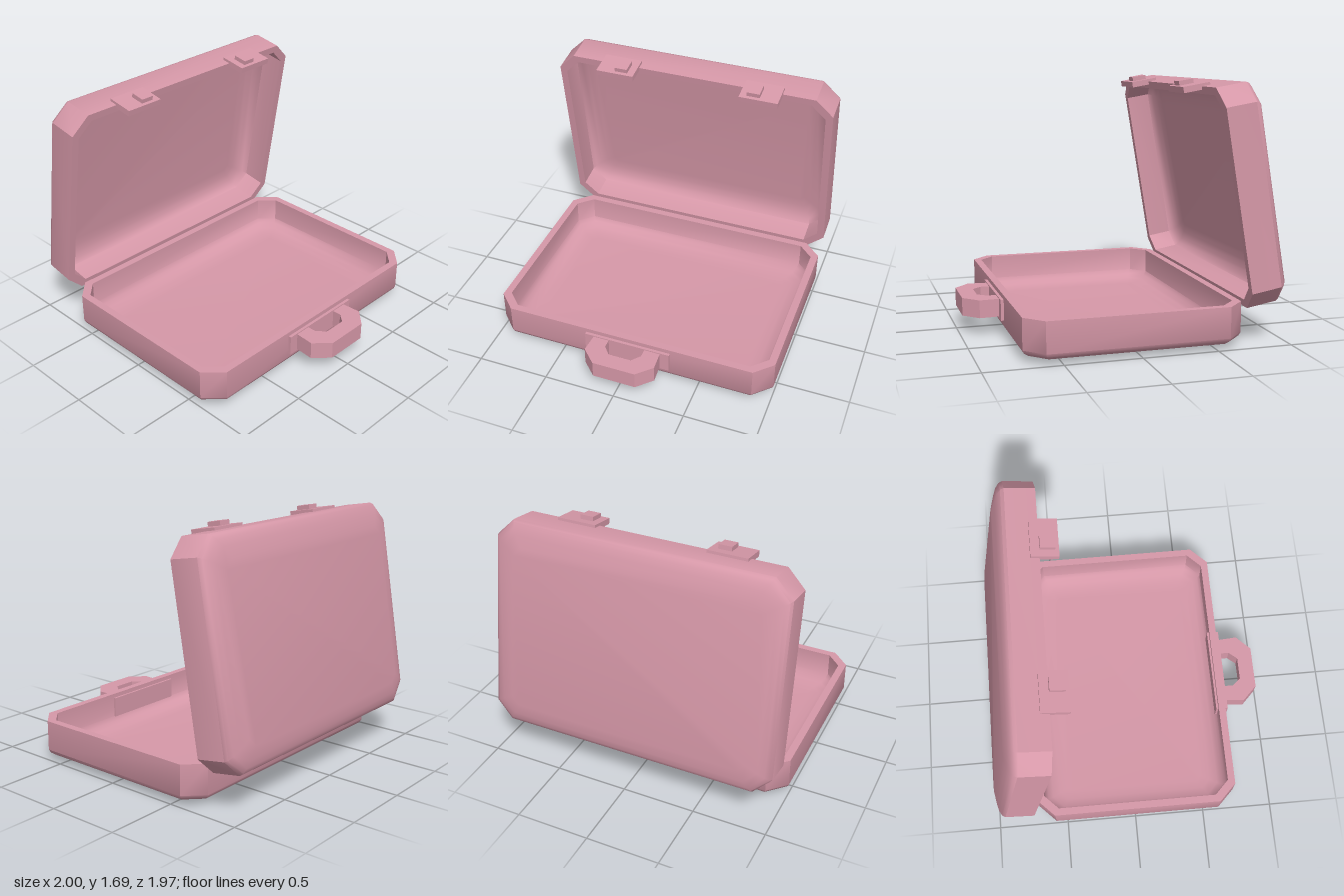
import * as THREE from 'three';
import { toCreasedNormals } from 'three/addons/utils/BufferGeometryUtils.js';

const HX = 1, HZ = 0.715, RIM = 0.28;
const material = new THREE.MeshStandardMaterial({ color: 0xd698a8, side: THREE.DoubleSide });

function add(parent, name, geometry, x = 0, y = 0, z = 0) {
  const mesh = new THREE.Mesh(geometry, material);
  mesh.name = name;
  mesh.position.set(x, y, z);
  parent.add(mesh);
  return mesh;
}

// Rectangle with chamfered corners, counted from +x towards +z
function ring(inset, y) {
  const x = HX - inset, z = HZ - inset, c = 0.12 - 0.4 * inset;
  return [
    [x, y, -z + c], [x, y, z - c], [x - c, y, z], [-x + c, y, z],
    [-x, y, z - c], [-x, y, -z + c], [-x + c, y, -z], [x - c, y, -z],
  ];
}

// Hollow tray: [inset, height] from the outer floor over the rim to the inner floor
function shellGeometry() {
  const profile = [
    [0.16, 0], [0.085, 0.018], [0.04, 0.033], [0.012, 0.053], [0, 0.076], [0, RIM],
    [0.05, RIM], [0.05, 0.11], [0.07, 0.08], [0.105, 0.055], [0.16, 0.04], [0.22, 0.035],
  ];
  const positions = profile.flatMap(([inset, y]) => ring(inset, y)).flat();
  const index = [], last = (profile.length - 1) * 8;
  for (let i = 0; i < profile.length - 1; i++) {
    for (let j = 0; j < 8; j++) {
      const a = i * 8 + j, b = i * 8 + (j + 1) % 8;
      index.push(a, a + 8, b, b, a + 8, b + 8);
    }
  }
  // Outer floor faces down, inner floor faces up
  for (let j = 1; j < 7; j++) {
    index.push(0, j, j + 1, last, last + j + 1, last + j);
  }
  const geometry = new THREE.BufferGeometry();
  geometry.setAttribute('position', new THREE.Float32BufferAttribute(positions, 3));
  geometry.setIndex(index);
  return toCreasedNormals(geometry, 0.7);
}

function extrude(points, depth) {
  const shape = new THREE.Shape(points.map(([x, y]) => new THREE.Vector2(x, y)));
  return new THREE.ExtrudeGeometry(shape, { depth, bevelEnabled: false });
}

export function createModel() {
  const model = new THREE.Group();
  model.name = 'openBriefcase';
  const shell = shellGeometry();

  // Lower half
  add(model, 'baseShell', shell, 0, 0, 0.015);

  // Handle and its mounting plate, which passes through the front wall
  add(model, 'handlePlate', new THREE.BoxGeometry(0.61, 0.14, 0.085), 0, 0.18, 0.7075);
  const half = [[0.24, 0.74], [0.25, 0.88], [0.15, 0.98]];
  const inner = [[0.08, 0.87], [0.13, 0.81], [0.13, 0.74]];
  const flip = (points) => points.map(([x, z]) => [-x, z]).reverse();
  const handle = extrude([...half, ...flip(half), ...flip(inner), ...inner], 0.12);
  handle.rotateX(Math.PI / 2);
  add(model, 'handle', handle, 0, 0.243, 0);

  // Hinges: cross-section in (-z, y), extruded along x
  const hingeSection = [
    [0.69, 0.22], [0.71, 0.175], [0.79, 0.19], [0.855, 0.208], [0.865, 0.255], [0.74, 0.235],
  ];
  for (const side of [-1, 1]) {
    const hinge = extrude(hingeSection, 0.38);
    hinge.translate(0, 0, -0.19);
    hinge.rotateY(Math.PI / 2);
    add(model, 'hinge', hinge, side * 0.465, 0, 0);
  }

  // Lid: the same shell, swung open a little past upright
  const lid = new THREE.Group();
  lid.name = 'lid';
  lid.position.set(0, 0.983, -0.897);
  lid.rotation.x = THREE.MathUtils.degToRad(99.7);
  add(lid, 'lidShell', shell);
  for (const side of [-1, 1]) {
    add(lid, 'latchPlate', new THREE.BoxGeometry(0.27, 0.185, 0.04), side * 0.515, 0.3125, -HZ + 0.002);
    add(lid, 'latchButton', new THREE.BoxGeometry(0.09, 0.1, 0.035), side * 0.475, 0.33, -HZ - 0.03);
  }
  model.add(lid);
  return model;
}
